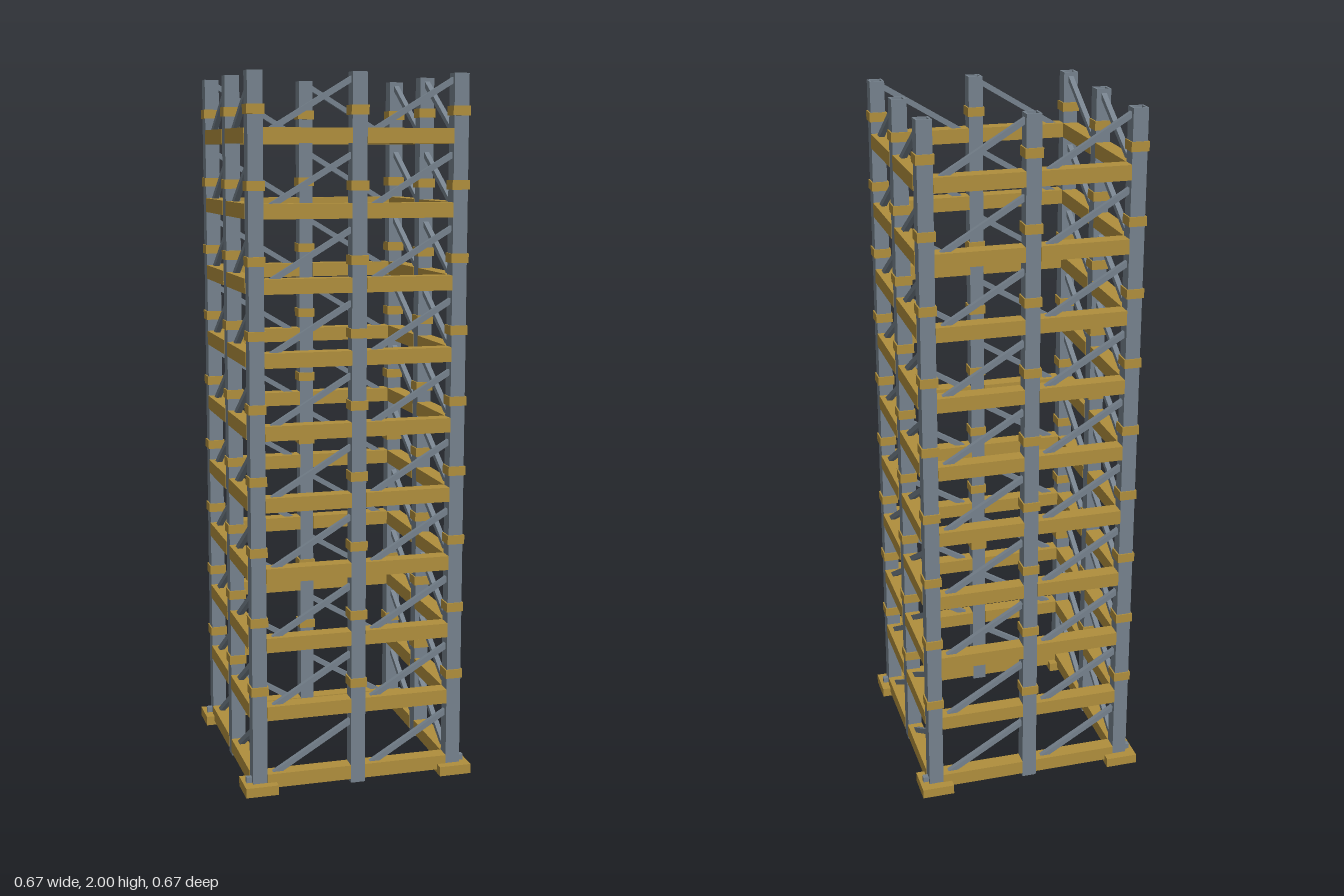
import * as THREE from 'three';

const HALF = 0.288;   // distance from the centre to each wall line
const COL = 0.042;    // column width
const STEP = 0.2;     // storey height
const LEVELS = 10;

// Square hollow tube standing along y, from y = 0 up to height
function squareTube(width, wall, height) {
  const square = (Type, r) => {
    const p = new Type();
    p.moveTo(-r, -r);
    p.lineTo(r, -r);
    p.lineTo(r, r);
    p.lineTo(-r, r);
    p.closePath();
    return p;
  };
  const shape = square(THREE.Shape, width / 2);
  shape.holes.push(square(THREE.Path, width / 2 - wall));
  const geo = new THREE.ExtrudeGeometry(shape, { depth: height, bevelEnabled: false });
  geo.rotateX(-Math.PI / 2);
  return geo;
}

export function createModel() {
  const model = new THREE.Group();
  model.name = 'scaffoldTower';

  const steel = new THREE.MeshStandardMaterial({ color: 0x75818c });
  steel.name = 'steel';
  const brass = new THREE.MeshStandardMaterial({ color: 0xaf8e3c });
  brass.name = 'brass';

  const add = (parent, name, geo, mat, x, y, z) => {
    const mesh = new THREE.Mesh(geo, mat);
    mesh.name = name;
    mesh.position.set(x, y, z);
    parent.add(mesh);
    return mesh;
  };

  const columnGeo = squareTube(COL, 0.006, 2);
  const collarGeo = squareTube(0.05, 0.005, 0.026);
  const padGeo = new THREE.BoxGeometry(0.094, 0.028, 0.094);
  const pinGeo = new THREE.BoxGeometry(0.074, 0.016, 0.016);
  const bay = HALF - COL;
  const beamGeo = new THREE.BoxGeometry(bay, 0.041, 0.045);

  // Brace runs from its low end on the beam up into the next column
  const low = new THREE.Vector2(HALF - 0.043, 0.046);
  const high = new THREE.Vector2(0.008, 0.188);
  const run = low.clone().sub(high);
  const braceGeo = new THREE.BoxGeometry(run.length(), 0.015, 0.015);
  braceGeo.rotateZ(Math.atan2(run.y, run.x));

  // Columns with their collars; corners also get a base pad and a cross pin
  for (const ix of [-1, 0, 1]) {
    for (const iz of [-1, 0, 1]) {
      if (ix === 0 && iz === 0) continue;
      const x = ix * HALF, z = iz * HALF;
      add(model, 'column', columnGeo, steel, x, 0, z);
      for (let i = 1; i < LEVELS; i++) {
        add(model, 'collar', collarGeo, brass, x, i * STEP + 0.087, z);
      }
      if (ix !== 0 && iz !== 0) {
        add(model, 'basePad', padGeo, brass, x, 0.014, z);
        add(model, 'basePin', pinGeo, steel, x, 0.036, z);
      }
    }
  }

  // Four identical walls, each turned a quarter further round the tower
  for (let side = 0; side < 4; side++) {
    const wall = new THREE.Group();
    wall.name = 'wall';
    wall.rotation.y = -side * Math.PI / 2;
    for (let i = 0; i < LEVELS; i++) {
      for (const start of [-HALF, 0]) {
        add(wall, 'beam', beamGeo, brass, start + HALF / 2, i * STEP + 0.0325, -HALF);
        add(wall, 'brace', braceGeo, steel,
          start + (low.x + high.x) / 2, i * STEP + (low.y + high.y) / 2, -HALF);
      }
    }
    model.add(wall);
  }

  return model;
}
